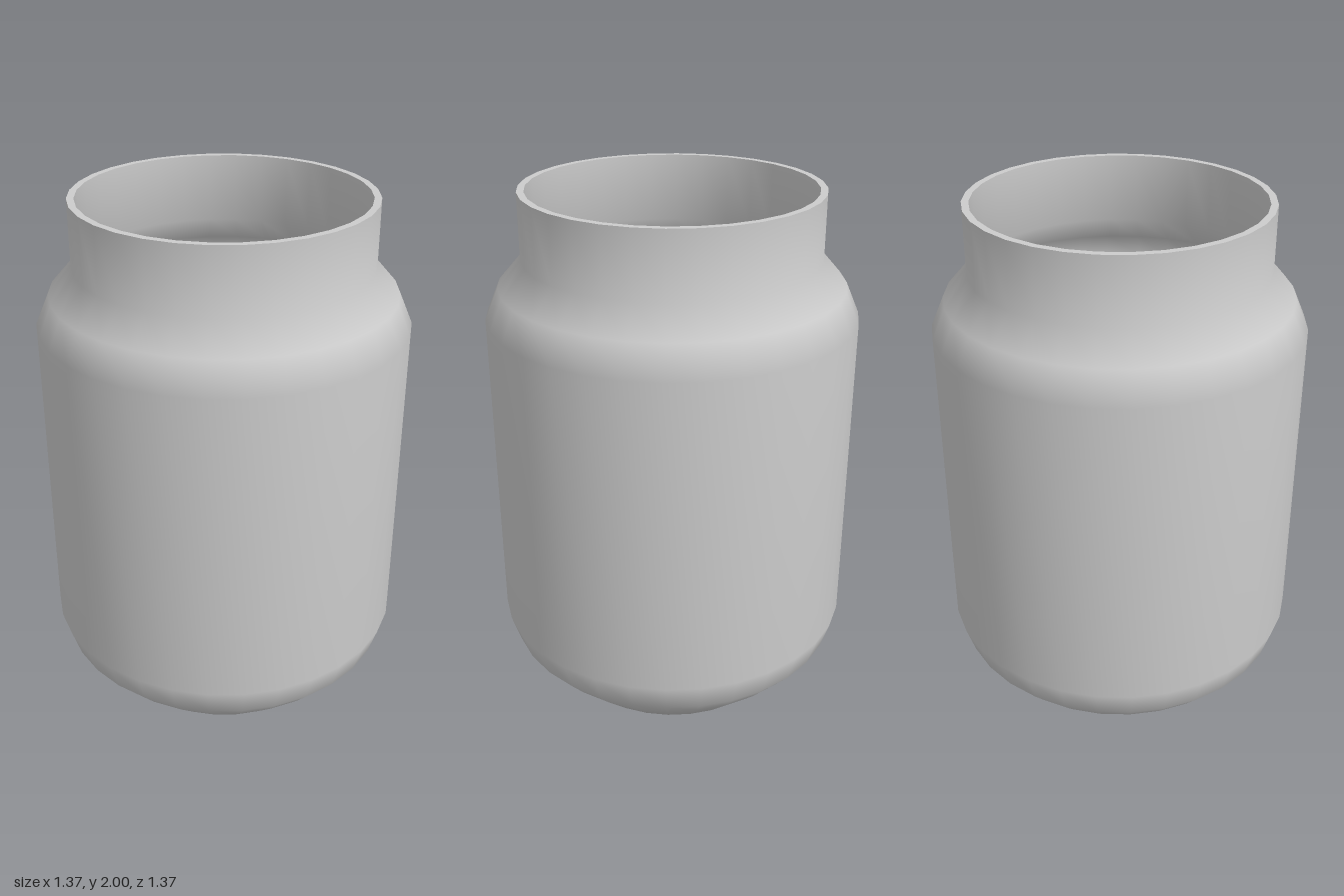
import * as THREE from 'three';

const SEGMENTS = 32;

// Revolves a [radius, height] profile around the y axis
function turned(name, profile, material) {
  const points = profile.map(([r, y]) => new THREE.Vector2(r, y));
  const mesh = new THREE.Mesh(new THREE.LatheGeometry(points, SEGMENTS), material);
  mesh.name = name;
  return mesh;
}

export function createModel() {
  const jar = new THREE.Group();
  jar.name = 'jar';
  const material = new THREE.MeshStandardMaterial({ color: 0xcccccc });

  // Outside: flat base, chamfered foot, straight body, rounded shoulder, neck
  const outer = [
    [0, 0], [0.445, 0], [0.59, 0.14], [0.652, 0.21], [0.687, 0.32],
    [0.687, 1.54], [0.637, 1.655], [0.549, 1.755], [0.549, 2],
  ];
  // Inside: the same shape, one wall thickness smaller, running downwards
  const inner = [
    [0.523, 2], [0.523, 1.743], [0.615, 1.64], [0.661, 1.535],
    [0.661, 0.325], [0.629, 0.225], [0.572, 0.16], [0.435, 0.026], [0, 0.026],
  ];

  jar.add(turned('outerWall', outer, material));
  jar.add(turned('rim', [[0.549, 2], [0.523, 2]], material));
  jar.add(turned('innerWall', inner, material));
  return jar;
}
